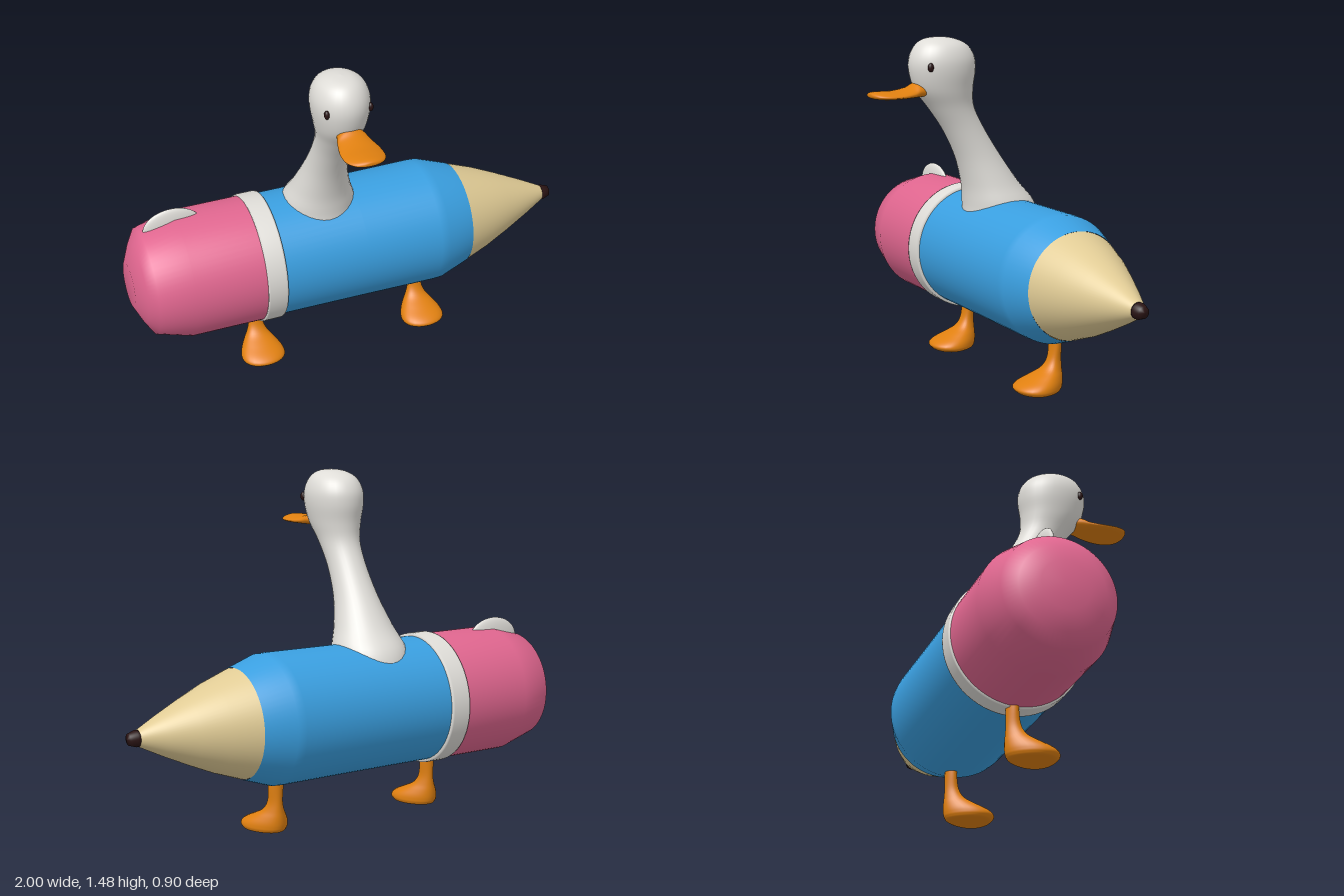
import * as THREE from 'three';

const material = (name, color) => {
  const m = new THREE.MeshStandardMaterial({ color });
  m.name = name;
  return m;
};

// Smooth skin through horizontal oval sections: [height, front z, back z, half width].
// "egg" widens the front of each section and narrows its back.
function loft(sections, egg = 0, steps = 40, sides = 32) {
  const size = new THREE.SplineCurve(sections.map(s => new THREE.Vector2(s[0], s[3])));
  const depth = new THREE.SplineCurve(sections.map(s => new THREE.Vector2(s[1], s[2])));
  const pos = [], index = [];
  for (let i = 0; i <= steps; i++) {
    const { x: y, y: w } = size.getPoint(i / steps);
    const { x: f, y: b } = depth.getPoint(i / steps);
    for (let j = 0; j < sides; j++) {
      const a = (j / sides) * Math.PI * 2;
      pos.push(w * Math.sin(a) * (1 + egg * Math.cos(a)), y, (f + b) / 2 + ((f - b) / 2) * Math.cos(a));
      if (i === steps) continue;
      const k = i * sides + j, n = i * sides + ((j + 1) % sides);
      index.push(k, n, n + sides, k, n + sides, k + sides);
    }
  }
  const g = new THREE.BufferGeometry();
  g.setAttribute('position', new THREE.Float32BufferAttribute(pos, 3));
  g.setIndex(index);
  g.computeVertexNormals();
  return g;
}

export function createModel() {
  const model = new THREE.Group();
  model.name = 'pencilDuck';
  const white = material('white', 0xdfddd8);
  const blue = material('blue', 0x3a9fe0);
  const pink = material('pink', 0xe0668f);
  const wood = material('wood', 0xe0cb95);
  const orange = material('orange', 0xe08010);
  const dark = material('dark', 0x2a1414);

  const add = (name, geometry, mat, x = 0, y = 0, z = 0) => {
    const mesh = new THREE.Mesh(geometry, mat);
    mesh.name = name;
    mesh.position.set(x, y, z);
    model.add(mesh);
    return mesh;
  };

  // Pencil: turned parts lying along x, profile points are [radius, x]
  const turned = (name, profile, mat) => {
    const g = new THREE.LatheGeometry(profile.map(p => new THREE.Vector2(...p)), 64);
    g.rotateZ(-Math.PI / 2);
    return add(name, g, mat, 0, 0.49, -0.168);
  };
  turned('eraser', [[0, -1], [0.1, -1], [0.175, -0.965], [0.233, -0.93], [0.275, -0.78], [0.276, -0.45]], pink);
  turned('ferrule', [[0.27, -0.468], [0.282, -0.468], [0.284, -0.46], [0.284, -0.388], [0.282, -0.38], [0.27, -0.38]], white);
  turned('barrel', [[0.271, -0.4], [0.273, 0], [0.276, 0.34], [0.274, 0.38], [0.23, 0.51]], blue);
  turned('woodCone', [[0.229, 0.508], [0.186, 0.63], [0.138, 0.74], [0.082, 0.86], [0.034, 0.955]], wood);
  turned('lead', [[0, 0.952], [0.034, 0.952], [0.034, 0.965], [0.024, 0.995], [0, 1]], dark);

  // Neck and head in one skin
  add('neckAndHead', loft([
    [0.58, -0.06, -0.30, 0.10],
    [0.66, -0.01, -0.345, 0.15],
    [0.74, -0.005, -0.325, 0.157],
    [0.83, 0.005, -0.25, 0.125],
    [0.95, 0.04, -0.165, 0.093],
    [1.07, 0.1, -0.088, 0.08],
    [1.17, 0.17, -0.037, 0.085],
    [1.25, 0.232, -0.03, 0.104],
    [1.33, 0.258, -0.04, 0.119],
    [1.39, 0.256, -0.034, 0.117],
    [1.44, 0.23, 0.0, 0.094],
    [1.467, 0.19, 0.06, 0.052],
    [1.475, 0.125, 0.125, 0],
  ], 0, 60), white, -0.14);

  // Bill: sections run forward, [z, -bottom, -top, half width]
  const bill = loft([
    [0.19, -1.225, -1.28, 0.045],
    [0.235, -1.223, -1.286, 0.06],
    [0.27, -1.222, -1.268, 0.07],
    [0.33, -1.222, -1.256, 0.083],
    [0.39, -1.222, -1.256, 0.082],
    [0.43, -1.226, -1.256, 0.062],
    [0.447, -1.233, -1.251, 0.03],
    [0.45, -1.242, -1.242, 0],
  ], 0.2);
  bill.rotateX(Math.PI / 2);
  add('bill', bill, orange, -0.14);

  // Eyes
  for (const [side, name] of [[1, 'leftEye'], [-1, 'rightEye']]) {
    const eye = add(name, new THREE.SphereGeometry(1, 20, 14), dark, -0.14 + side * 0.093, 1.355, 0.21);
    eye.scale.set(0.011, 0.019, 0.013);
  }

  // Legs with feet
  const leg = loft([
    [0, -0.1, -0.1, 0],
    [0.003, -0.02, -0.185, 0.075],
    [0.015, 0.004, -0.203, 0.092],
    [0.03, 0.01, -0.208, 0.094],
    [0.048, -0.012, -0.21, 0.086],
    [0.072, -0.065, -0.21, 0.066],
    [0.1, -0.118, -0.208, 0.044],
    [0.14, -0.145, -0.206, 0.032],
    [0.2, -0.155, -0.206, 0.034],
    [0.25, -0.155, -0.206, 0.036],
  ], 0.25);
  add('leftLeg', leg, orange, 0.33);
  add('rightLeg', leg, orange, -0.445);

  // Small tail peeking out of the eraser
  const tail = add('tail', new THREE.SphereGeometry(1, 28, 18), white, -0.79, 0.72, -0.188);
  tail.scale.set(0.128, 0.09, 0.024);

  return model;
}
